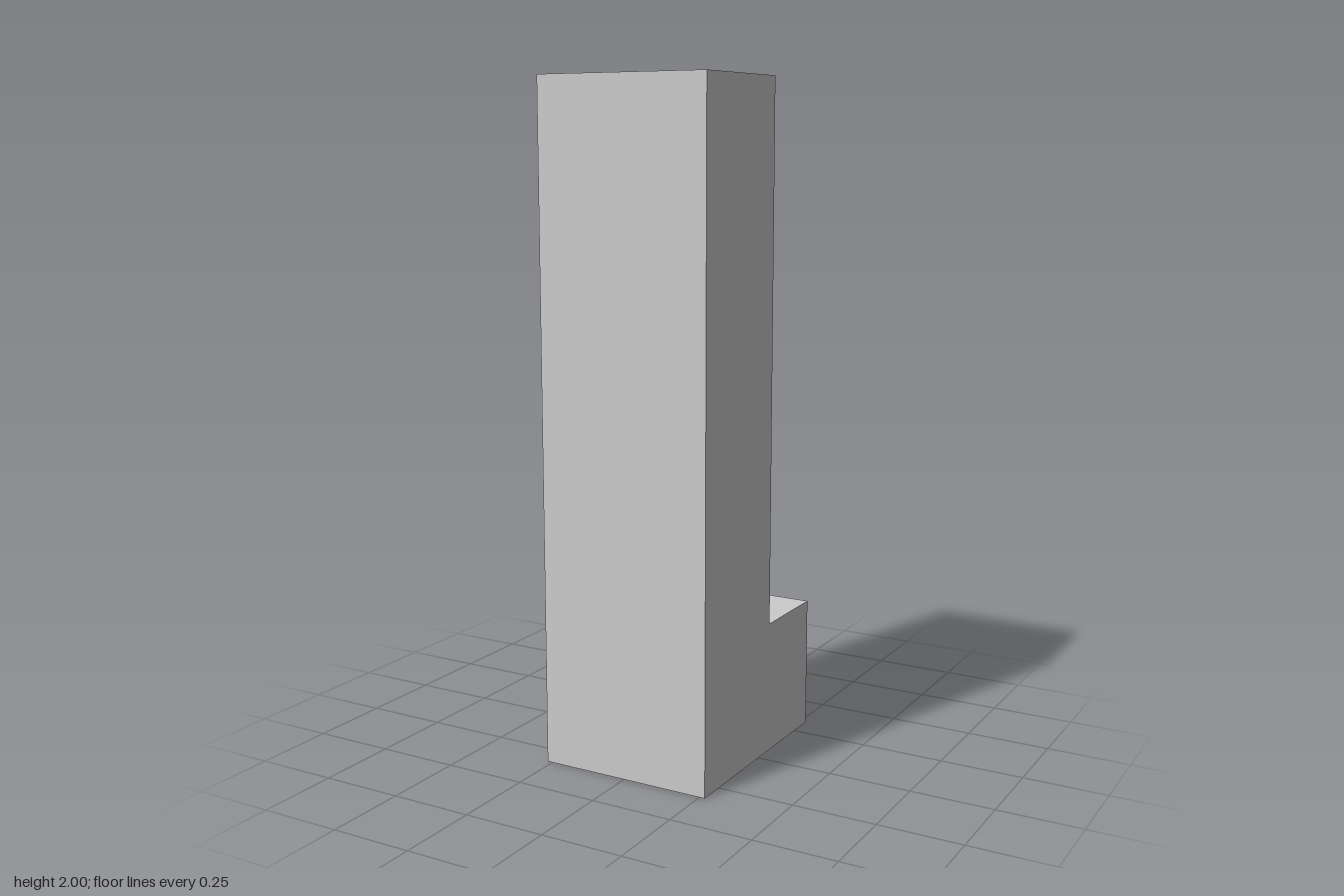
import * as THREE from 'three';

export function createModel() {
  const group = new THREE.Group();
  group.name = 'steppedPillar';

  const width = 0.5333;
  const front = 0.3333, step = -0.0667, back = -0.3333;
  const height = 2, footHeight = 0.4;

  // L-shaped side profile: (z, y)
  const profile = new THREE.Shape([
    [back, 0], [front, 0], [front, height],
    [step, height], [step, footHeight], [back, footHeight],
  ].map(([z, y]) => new THREE.Vector2(z, y)));

  // Tall leg and rear foot as one solid, extruded across x
  const geometry = new THREE.ExtrudeGeometry(profile, { depth: width, bevelEnabled: false });
  geometry.translate(0, 0, -width / 2);
  geometry.rotateY(-Math.PI / 2);

  const body = new THREE.Mesh(
    geometry,
    new THREE.MeshStandardMaterial({ color: 0xcccccc, flatShading: true }),
  );
  body.name = 'pillarWithFoot';
  group.add(body);
  return group;
}
